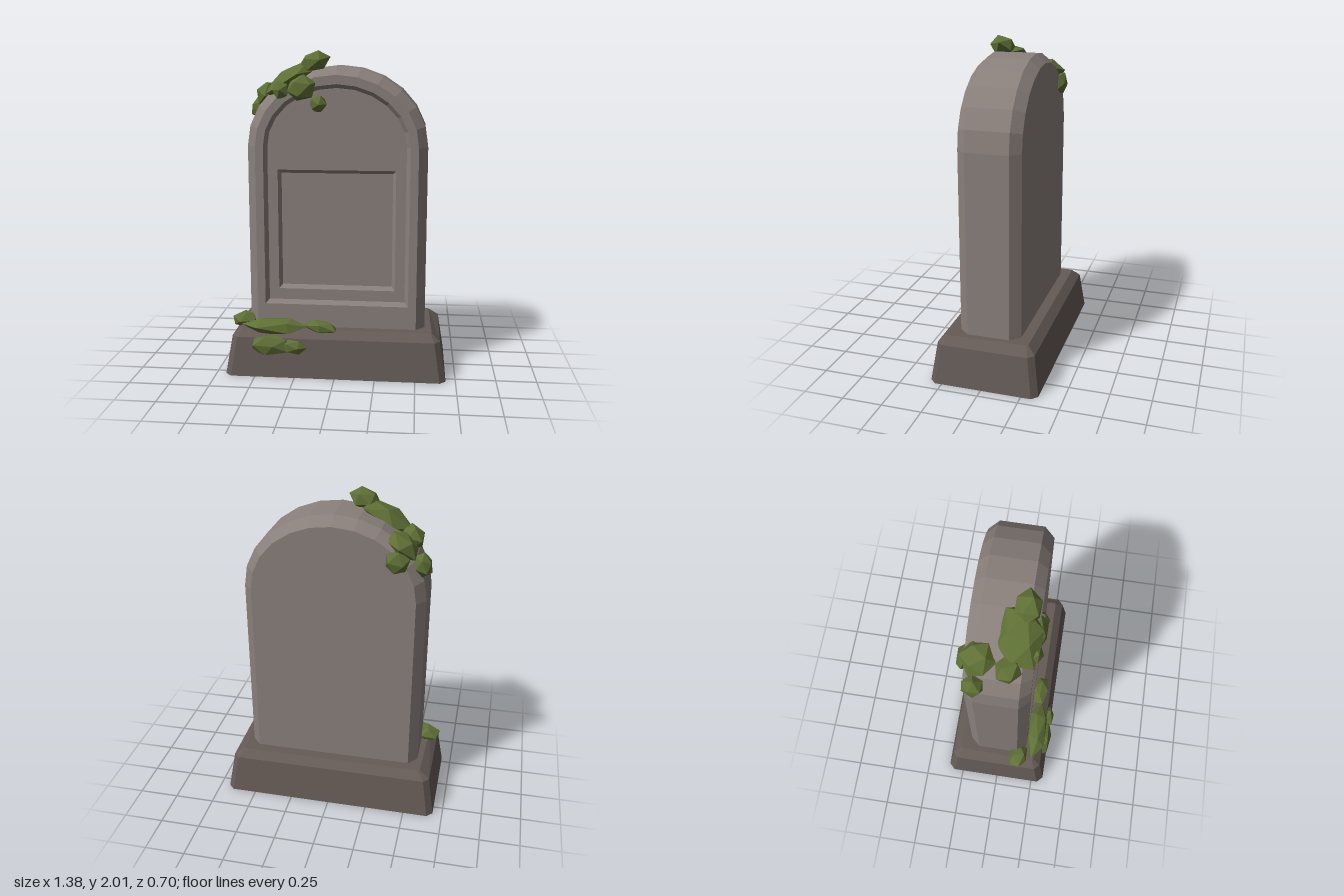
import * as THREE from 'three';

const stone = new THREE.MeshStandardMaterial({ color: 0x8a807b });
stone.name = 'slab stone';
const darkStone = new THREE.MeshStandardMaterial({ color: 0x655b56 });
darkStone.name = 'base stone';
const green = new THREE.MeshStandardMaterial({ color: 0x5f7035 });
green.name = 'moss green';

// Skin equal-length loops with flat faces; optionally close either end
function loft(loops, capStart, capEnd) {
  const pos = [];
  const tri = (...pts) => pts.forEach((p) => pos.push(p[0], p[1], p[2]));
  const n = loops[0].length;
  for (let i = 0; i < loops.length - 1; i++) {
    for (let j = 0; j < n; j++) {
      const k = (j + 1) % n;
      const a = loops[i][j], b = loops[i][k], c = loops[i + 1][k], d = loops[i + 1][j];
      tri(a, b, c);
      tri(a, c, d);
    }
  }
  const first = loops[0], last = loops[loops.length - 1];
  for (let j = 1; j < n - 1; j++) {
    if (capStart) tri(first[0], first[j + 1], first[j]);
    if (capEnd) tri(last[0], last[j], last[j + 1]);
  }
  const g = new THREE.BufferGeometry();
  g.setAttribute('position', new THREE.Float32BufferAttribute(pos, 3));
  g.computeVertexNormals();
  return g;
}

function add(parent, name, geometry, material) {
  const m = new THREE.Mesh(geometry, material);
  m.name = name;
  parent.add(m);
  return m;
}

// Round-topped outline: straight sides, then a half ellipse in 12 steps
const SPRING = 1.43;
function arch(w, bottom, top, z) {
  const pts = [[-w, bottom, z], [w, bottom, z]];
  for (let i = 0; i <= 12; i++) {
    const a = (i / 12) * Math.PI;
    pts.push([w * Math.cos(a), SPRING + (top - SPRING) * Math.sin(a), z]);
  }
  return pts;
}

const rect = (w, y0, y1, z) => [[-w, y0, z], [w, y0, z], [w, y1, z], [-w, y1, z]];

// Horizontal rectangle with cut corners; the back may be narrower
function footing(wf, wb, back, front, c, y) {
  return [
    [-wf + c, y, front], [wf - c, y, front], [wf, y, front - c], [wb, y, back + c],
    [wb - c, y, back], [-wb + c, y, back], [-wb, y, back + c], [-wf, y, front - c],
  ];
}

// Faceted lump, unevenly pushed in and out by a seeded rule
function lump([x, y, z], [rx, ry, rz], tilt, seed) {
  const g = new THREE.IcosahedronGeometry(1, 0);
  const p = g.attributes.position;
  const v = new THREE.Vector3();
  for (let i = 0; i < p.count; i++) {
    v.fromBufferAttribute(p, i);
    const s = Math.sin(v.x * 12.9 + v.y * 37.7 + v.z * 7.3 + seed * 4.1);
    v.multiplyScalar(1.12 + 0.12 * s);
    p.setXYZ(i, v.x, v.y, v.z);
  }
  g.rotateY(seed * 1.3);
  g.scale(rx, ry, rz);
  g.rotateZ(tilt);
  g.translate(x, y, z);
  g.computeVertexNormals();
  return g;
}

export function createModel() {
  const model = new THREE.Group();
  model.name = 'gravestone';

  // Tapered base with a bevelled top
  add(model, 'base', loft([
    footing(0.69, 0.69, -0.35, 0.33, 0.037, 0),
    footing(0.65, 0.65, -0.315, 0.295, 0.035, 0.245),
    footing(0.6, 0.585, -0.265, 0.245, 0.008, 0.29),
  ], true, true), darkStone);

  // Slab: bevelled back and front, then the arched recess
  const slab = new THREE.Group();
  slab.name = 'slab';
  model.add(slab);
  const FLOOR = 0.16, DEEP = 0.135;
  add(slab, 'slabBody', loft([
    arch(0.5, 0.25, 1.865, -0.2),
    arch(0.555, 0.25, 1.92, -0.14),
    arch(0.555, 0.25, 1.92, 0.125),
    arch(0.5, 0.25, 1.865, 0.185),
    arch(0.45, 0.435, 1.81, 0.185),
    arch(0.427, 0.46, 1.787, FLOOR),
  ], true, false), stone);

  // Recess floor with an opening for the sunken panel
  const to2 = (pts) => pts.map((q) => new THREE.Vector2(q[0], q[1]));
  const floor = new THREE.Shape(to2(arch(0.427, 0.46, 1.787, 0)));
  floor.holes.push(new THREE.Path(to2(rect(0.365, 0.53, 1.288, 0)).reverse()));
  add(slab, 'recessFloor', new THREE.ShapeGeometry(floor).translate(0, 0, FLOOR), stone);

  // Sunken rectangular panel
  add(slab, 'sunkenPanel', loft([
    rect(0.365, 0.53, 1.288, FLOOR),
    rect(0.345, 0.553, 1.266, DEEP),
  ], false, true), stone);

  // Moss: centre, half sizes, tilt
  const moss = new THREE.Group();
  moss.name = 'moss';
  model.add(moss);
  const lumps = [
    // over the shoulder of the arch
    [[-0.28, 1.84, 0.085], [0.18, 0.075, 0.12], 0.55],
    [[-0.14, 1.94, 0.11], [0.085, 0.055, 0.075], 0.3],
    [[-0.43, 1.75, 0.045], [0.075, 0.065, 0.07], 0.8],
    [[-0.4, 1.76, -0.115], [0.11, 0.065, 0.09], 0.7],
    [[-0.525, 1.655, -0.135], [0.05, 0.065, 0.058], -0.4],
    [[-0.38, 1.68, -0.205], [0.07, 0.07, 0.035], 0.2],
    // on the front face
    [[-0.215, 1.79, 0.19], [0.085, 0.075, 0.04], 0.3],
    [[-0.335, 1.775, 0.185], [0.05, 0.05, 0.035], 0],
    [[-0.11, 1.69, 0.185], [0.052, 0.052, 0.04], 0],
    // along the base
    [[-0.37, 0.31, 0.24], [0.185, 0.052, 0.065], 0],
    [[-0.585, 0.312, 0.14], [0.08, 0.046, 0.06], 0.1],
    [[-0.09, 0.303, 0.23], [0.105, 0.042, 0.052], -0.15],
    [[-0.405, 0.205, 0.305], [0.125, 0.064, 0.042], 0],
    [[-0.255, 0.195, 0.31], [0.07, 0.042, 0.034], 0],
  ];
  lumps.forEach(([c, r, t], i) => add(moss, 'mossLump' + (i + 1), lump(c, r, t, i + 1), green));

  return model;
}
